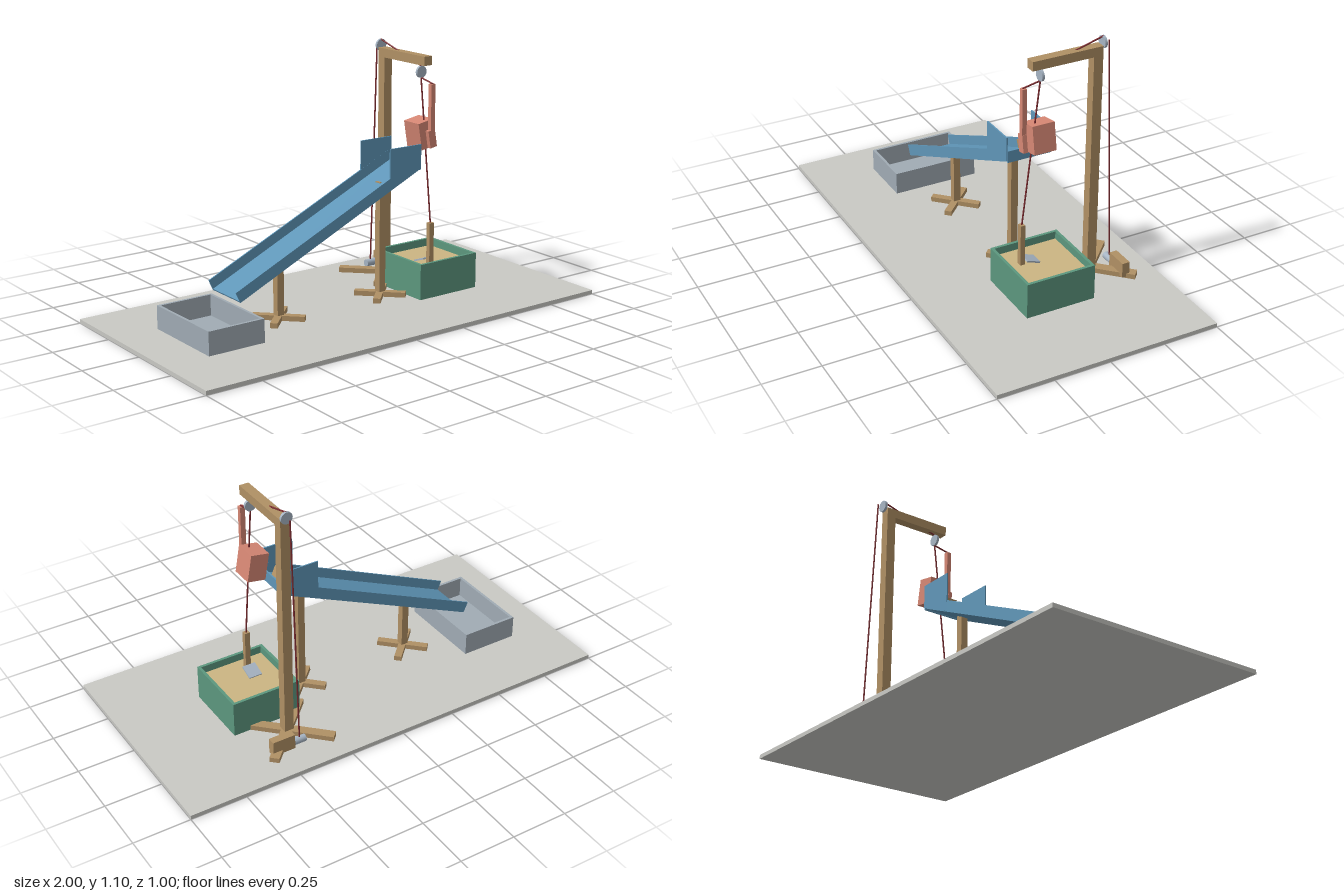
import * as THREE from 'three';

const mat = (name, color) => {
  const m = new THREE.MeshStandardMaterial({ color });
  m.name = name;
  return m;
};

export function createModel() {
  const M = {
    board: mat('boardGrey', 0xc9c9c4),
    wood: mat('wood', 0xb09064),
    blue: mat('chuteBlue', 0x5f96b8),
    green: mat('boxGreen', 0x5c977e),
    grey: mat('trayGrey', 0xa0abb4),
    sand: mat('sand', 0xcbb582),
    red: mat('salmon', 0xd68774),
    rope: mat('ropeRed', 0x7c2c30),
    metal: mat('pulleyMetal', 0xa6b4c3),
  };
  const root = new THREE.Group();
  root.name = 'sandChuteMachine';

  const add = (name, geo, material, x, y, z, parent = root) => {
    const mesh = new THREE.Mesh(geo, material);
    mesh.name = name;
    mesh.position.set(x, y, z);
    parent.add(mesh);
    return mesh;
  };
  const box = (name, material, w, h, d, x, y, z, parent) =>
    add(name, new THREE.BoxGeometry(w, h, d), material, x, y, z, parent);

  // Box given by its lower and upper corner
  const span = (name, material, a, b, parent) =>
    box(name, material, b[0] - a[0], b[1] - a[1], b[2] - a[2],
      (a[0] + b[0]) / 2, (a[1] + b[1]) / 2, (a[2] + b[2]) / 2, parent);

  // Open box: extruded wall ring with a floor
  const openBox = (name, material, w, h, d, x, y, t) => {
    const g = new THREE.Group();
    g.name = name;
    g.position.set(x, y, 0);
    for (const s of [-1, 1]) {
      box('longWall', material, w, h, t, 0, h / 2, s * (d - t) / 2, g);
      box('endWall', material, t, h, d - 2 * t, s * (w - t) / 2, h / 2, 0, g);
    }
    box('floor', material, w - 2 * t, 0.01, d - 2 * t, 0, 0.005, 0, g);
    root.add(g);
    return g;
  };

  // Post standing on a diagonal cross
  const stand = (name, x, z, top, width, crossLength) => {
    const g = new THREE.Group();
    g.name = name;
    g.position.set(x, 0, z);
    span('post', M.wood, [-width / 2, 0.018, -width / 2], [width / 2, top, width / 2], g);
    for (const s of [-1, 1]) {
      box('crossFoot', M.wood, crossLength, 0.022, width, 0, 0.029, 0, g).rotation.y = s * Math.PI / 4;
    }
    root.add(g);
  };

  const rope = (a, b) => {
    const p = new THREE.Vector3(...a), q = new THREE.Vector3(...b);
    const dir = q.clone().sub(p);
    const m = add('rope', new THREE.CylinderGeometry(0.0035, 0.0035, dir.length(), 8), M.rope, 0, 0, 0);
    m.position.copy(p).add(q).multiplyScalar(0.5);
    m.quaternion.setFromUnitVectors(new THREE.Vector3(0, 1, 0), dir.normalize());
  };

  // Base board
  span('baseBoard', M.board, [-1, 0, -0.5], [1, 0.018, 0.5]);

  // Catch tray and sand box
  openBox('catchTray', M.grey, 0.262, 0.102, 0.4, -0.67, 0.018, 0.012);
  const sandBox = openBox('sandBox', M.green, 0.315, 0.159, 0.315, 0.457, 0.018, 0.013);
  box('sandFill', M.sand, 0.289, 0.115, 0.289, 0, 0.0675, 0, sandBox);

  // Stands under the chute, and the crane stand
  stand('lowerStand', -0.335, 0, 0.285, 0.032, 0.225);
  stand('upperStand', 0.2, 0, 0.533, 0.032, 0.225);
  const X = 0.417;
  stand('craneStand', X, -0.25, 1.02, 0.042, 0.41);
  span('craneBeam', M.wood, [X - 0.021, 1.02, -0.271], [X + 0.021, 1.06, 0.047]);

  // Sloping chute
  const chute = new THREE.Group();
  chute.name = 'chute';
  chute.position.set(-0.59, 0.17, 0);
  chute.rotation.z = Math.atan2(0.42, 0.927);
  root.add(chute);
  const L = 1.018;
  span('chuteFloor', M.blue, [0, 0, -0.1], [L, 0.007, 0.1], chute);
  for (const s of [-1, 1]) box('chuteSide', M.blue, L, 0.05, 0.006, L / 2, 0.025, s * 0.102, chute);

  // Raised cheeks and lip at the chute head
  const cheek = new THREE.Shape([[0.17, 0.52], [0.337, 0.592], [0.337, 0.697], [0.17, 0.697]]
    .map(p => new THREE.Vector2(...p)));
  const cheekGeo = new THREE.ExtrudeGeometry(cheek, { depth: 0.006, bevelEnabled: false });
  for (const s of [-1, 1]) add('headCheek', cheekGeo, M.blue, 0, 0, s * 0.1025 - 0.003);
  span('headLip', M.blue, [0.333, 0.584, -0.1], [0.34, 0.636, 0.1]);
  box('stopBlock', M.wood, 0.025, 0.055, 0.05, 0.297, 0.622, 0).rotation.z = 0.42;

  // Pulleys
  for (const [y, z] of [[1.069, -0.281], [0.987, 0.001]]) {
    add('pulley', new THREE.CylinderGeometry(0.026, 0.026, 0.011, 24), M.metal, X, y, z).rotation.x = Math.PI / 2;
  }

  // Winch
  span('winchBlock', M.wood, [0.447, 0.025, -0.368], [0.55, 0.093, -0.333]);
  add('winchDrum', new THREE.CylinderGeometry(0.016, 0.016, 0.06, 20), M.metal, 0.42, 0.045, -0.35)
    .rotation.z = Math.PI / 2;

  // Ropes
  rope([X, 0.06, -0.351], [X, 1.07, -0.309]);
  rope([X, 1.093, -0.281], [X, 1.013, 0.001]);
  rope([X, 0.962, 0.001], [X, 0.946, 0.08]);
  rope([X, 0.962, 0.001], [X, 0.33, 0.076]);

  // Digging stick and blade
  span('diggerPost', M.wood, [X - 0.012, 0.13, 0.066], [X + 0.012, 0.33, 0.087]);
  box('diggerBlade', M.metal, 0.06, 0.007, 0.065, X, 0.156, 0.035).rotation.x = -0.35;

  // Tilted load block with its hanger
  box('loadBlock', M.red, 0.083, 0.12, 0.1, X, 0.719, 0).rotation.z = 0.17;
  span('hangerBar', M.red, [X - 0.011, 0.69, 0.065], [X + 0.011, 0.945, 0.085]);
  box('hangerPlate', M.red, 0.036, 0.077, 0.02, X, 0.706, 0.075).rotation.z = 0.17;

  return root;
}
